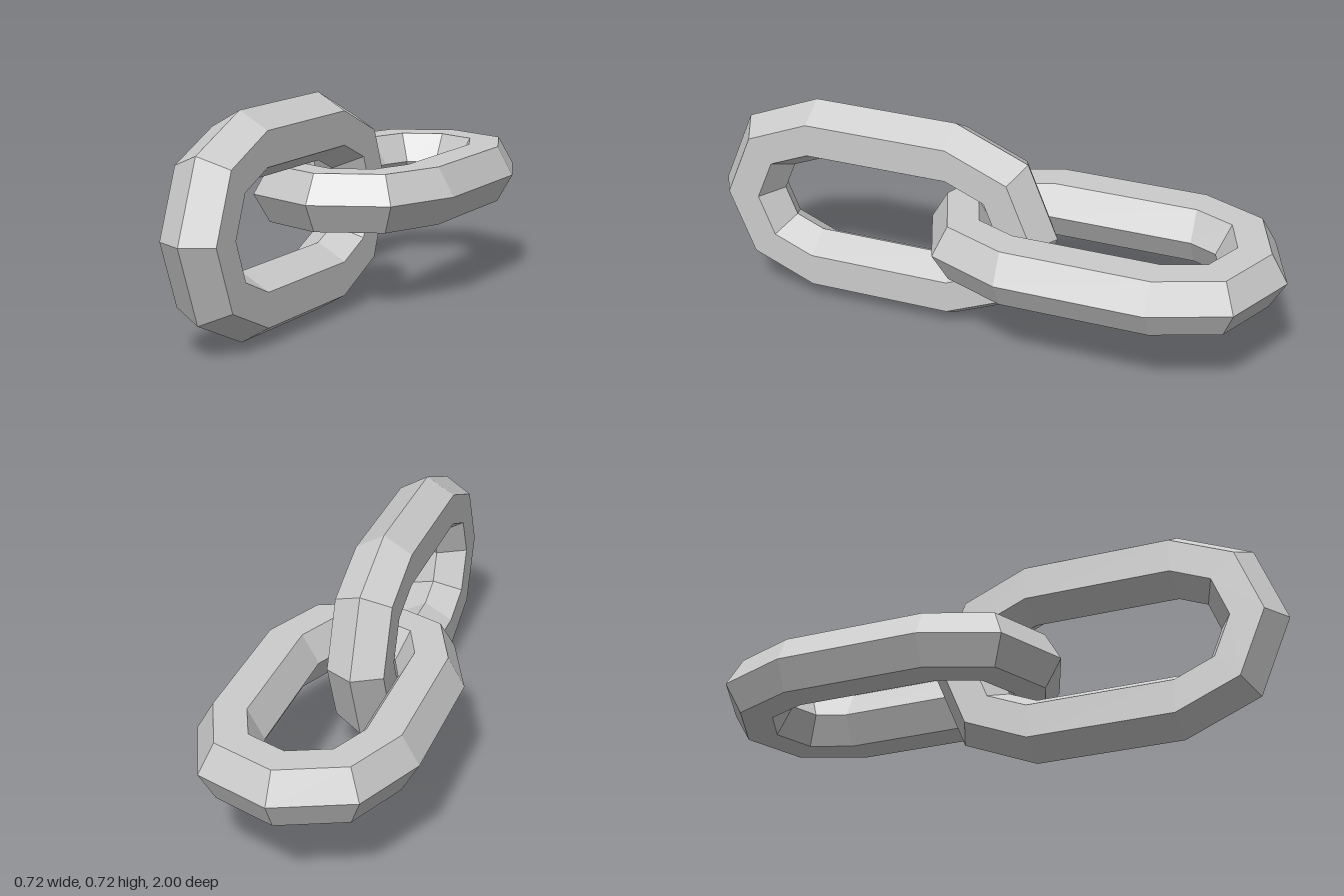
import * as THREE from 'three';

const RING = 0.249;      // bend radius of the bar's centre line
const BAR = 0.1125;      // radius of the hexagonal bar
const HALF = 0.251;      // half length of the straight sides
const CENTRE_Y = 0.363;

// Oval link lying in the xz plane: a torus opened up into two half rings
function linkGeometry() {
  const sides = 6, rings = 10;
  const geo = new THREE.TorusGeometry(RING, BAR, sides, rings);
  const pos = geo.attributes.position;
  for (let j = 0; j <= sides; j++) {
    const v = (j / sides) * Math.PI * 2;
    const rho = RING + BAR * Math.cos(v);
    for (let i = 0; i <= rings; i++) {
      const k = i % rings;
      const firstEnd = k < 5;
      const a = (firstEnd ? k : k - 1) * Math.PI / 4;
      const shift = firstEnd ? HALF : -HALF;
      pos.setXYZ(j * (rings + 1) + i,
        rho * Math.cos(a), rho * Math.sin(a) + shift, BAR * Math.sin(v));
    }
  }
  geo.rotateX(Math.PI / 2);
  const flat = geo.toNonIndexed();
  flat.computeVertexNormals();
  return flat;
}

export function createModel() {
  const group = new THREE.Group();
  group.name = 'chainLinks';
  const material = new THREE.MeshStandardMaterial({ color: 0xcccccc, flatShading: true });
  const geometry = linkGeometry();

  // Upright link at the front, flat link at the back, hooked through each other
  const addLink = (name, z, roll) => {
    const link = new THREE.Mesh(geometry, material);
    link.name = name;
    link.position.set(0, CENTRE_Y, z);
    link.rotation.z = roll;
    group.add(link);
  };
  addLink('frontLink', 0.388, Math.PI / 2);
  addLink('backLink', -0.388, 0);
  return group;
}
